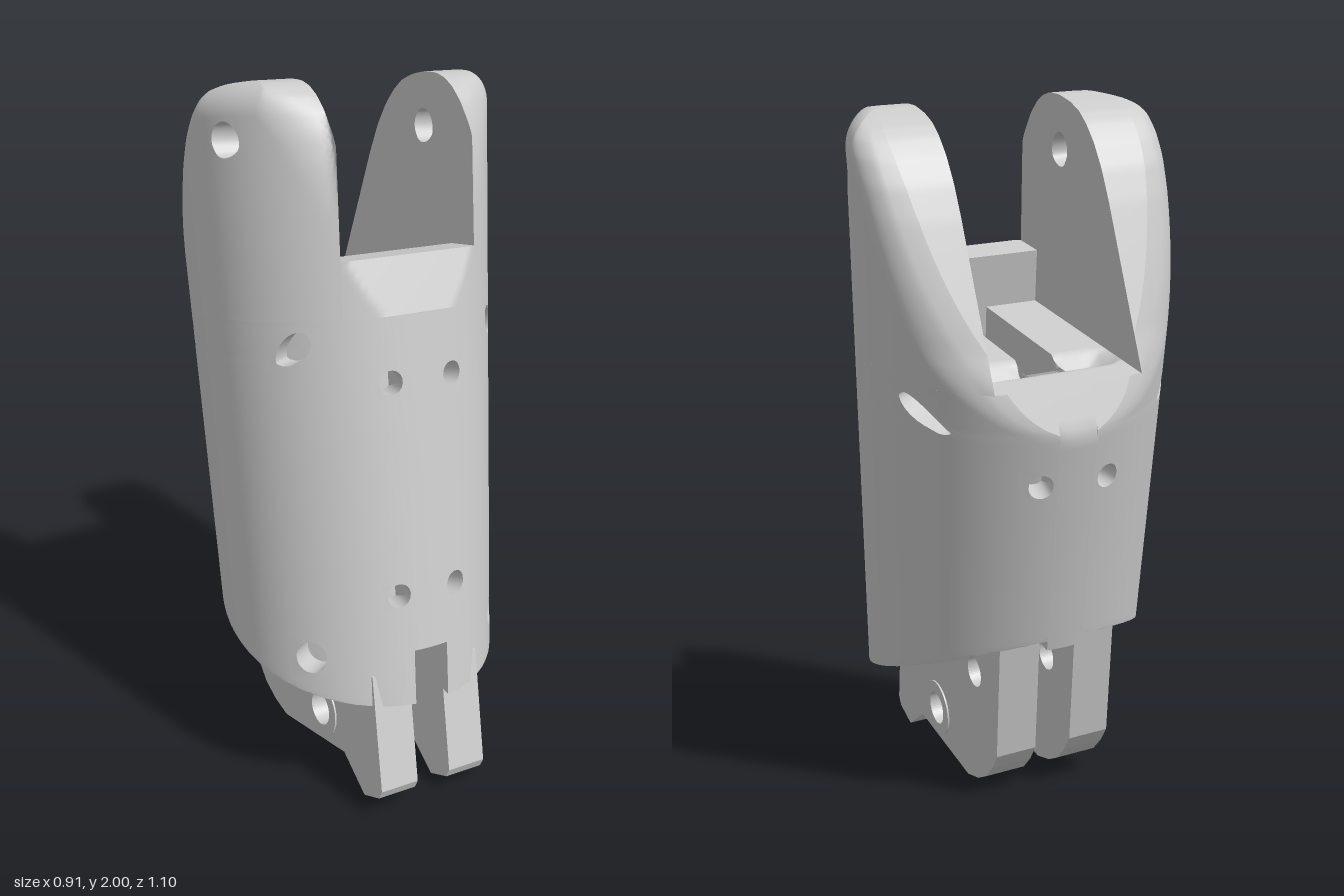
import * as THREE from 'three';
import { mergeGeometries } from 'three/addons/utils/BufferGeometryUtils.js';

const material = new THREE.MeshStandardMaterial({ color: 0xcccccc, side: THREE.DoubleSide });
const V = (x, y, z) => new THREE.Vector3(x, y, z);
const lerp = THREE.MathUtils.lerp;
const clamp = THREE.MathUtils.clamp;

// Main dimensions, measured along the sleeve's own axis
const SLOT = 0.055, FORK = 0.215, FLOOR = 1.355, TOP = 1.985, LEDGE = 1.51, ZC = 0.01;
const radius = y => 0.386 + 0.032 * y;
const bottom = z => 0.4 - 0.48 * z + 0.2 * z * z;
const arcZ = (x, y) => Math.sqrt(Math.max(0, radius(y) ** 2 - x * x));

// Side profile of the fork: height, back limit, front limit
const PROFILE = [[0, -0.6, 0.6], [1.2, -0.435, 0.6], [1.57, -0.23, 0.48], [1.76, -0.125, 0.42], [1.84, -0.075, 0.385],
  [1.9, -0.025, 0.35], [1.94, 0.022, 0.315], [1.965, 0.065, 0.28], [1.98, 0.12, 0.24], [TOP, 0.18, 0.19]];
function limits(y) {
  let k = 1;
  while (k < PROFILE.length - 1 && PROFILE[k][0] < y) k++;
  const a = PROFILE[k - 1], b = PROFILE[k], t = clamp((y - a[0]) / (b[0] - a[0]), 0, 1);
  return [lerp(a[1], b[1], t), lerp(a[2], b[2], t)];
}

// Grid surface f(a, b); each hole replaces a block of cells by a ring and a blind bore
function sheet(f, nu, nv, holes = []) {
  const pos = [], idx = [], skip = new Set();
  const put = p => { pos.push(p.x, p.y, p.z); return pos.length / 3 - 1; };
  const quad = (a, b, c, d) => idx.push(a, b, c, a, c, d);
  const id = (i, j) => j * (nu + 1) + i;
  for (let j = 0; j <= nv; j++) for (let i = 0; i <= nu; i++) put(f(i / nu, j / nv));
  for (const h of holes) {
    const i0 = Math.max(0, Math.floor(h.i - h.ri - 0.4)), i1 = Math.min(nu, Math.ceil(h.i + h.ri + 0.4));
    const j0 = Math.max(0, Math.floor(h.j - h.rj - 0.4)), j1 = Math.min(nv, Math.ceil(h.j + h.rj + 0.4));
    for (let j = j0; j < j1; j++) for (let i = i0; i < i1; i++) skip.add(id(i, j));
    const border = [];
    for (let i = i0; i < i1; i++) border.push([i, j0]);
    for (let j = j0; j < j1; j++) border.push([i1, j]);
    for (let i = i1; i > i0; i--) border.push([i, j1]);
    for (let j = j1; j > j0; j--) border.push([i0, j]);
    const ring = border.map(([i, j]) => {
      const a = Math.atan2((j - h.j) / h.rj, (i - h.i) / h.ri);
      const p = f((h.i + h.ri * Math.cos(a)) / nu, (h.j + h.rj * Math.sin(a)) / nv);
      const q = p.clone().add(h.dir);
      return { edge: id(i, j), rim: put(p), wall: put(p), end: put(q), base: put(q) };
    });
    const mid = put(f(h.i / nu, h.j / nv).add(h.dir));
    ring.forEach((r, k) => {
      const s = ring[(k + 1) % ring.length];
      quad(r.edge, s.edge, s.rim, r.rim);
      quad(r.wall, s.wall, s.end, r.end);
      idx.push(r.base, s.base, mid);
    });
  }
  for (let j = 0; j < nv; j++) for (let i = 0; i < nu; i++)
    if (!skip.has(id(i, j))) quad(id(i, j), id(i + 1, j), id(i + 1, j + 1), id(i, j + 1));
  const g = new THREE.BufferGeometry();
  g.setAttribute('position', new THREE.Float32BufferAttribute(pos, 3));
  g.setIndex(idx);
  g.computeVertexNormals();
  return g;
}

// Six-sided solid from a rule f(u, v, w)
function block(f, [nu, nv, nw], outerHoles, innerHoles) {
  return mergeGeometries([
    sheet((a, b) => f(1, b, a), nw, nv, outerHoles),
    sheet((a, b) => f(0, b, a), nw, nv, innerHoles),
    sheet((a, b) => f(a, 0, b), nu, nw),
    sheet((a, b) => f(a, 1, b), nu, nw),
    sheet((a, b) => f(a, b, 0), nu, nv),
    sheet((a, b) => f(a, b, 1), nu, nv),
  ]);
}

// Rounded groove across the pocket floor
const groove = (x, z) => Math.sqrt(Math.max(0, 0.0026 - (z + 0.2) ** 2)) * clamp((0.2 - Math.abs(x)) / 0.03, 0, 1);

// One side of the sleeve, from the plane x = xi out to the tapered wall
function sidePiece(xi, yA, yB, power, isBody, drill, dims) {
  const height = v => lerp(yA, yB, 1 - Math.pow(1 - v, power));
  const span = y => {
    const r = radius(y), s = arcZ(xi, y), [b, f] = limits(y);
    const angle = z => Math.asin(clamp((z - ZC) / r, -1, 1));
    return [angle(Math.max(b, ZC - s)), angle(Math.min(f, ZC + s))];
  };
  const rule = (u, v, w) => {
    const y = height(v), r = radius(y), [p0, p1] = span(y), p = lerp(p0, p1, w), [b, f] = limits(y);
    const z = ZC + r * Math.sin(p);
    // rounding where the wall meets the cut faces
    const R = 0.09 * clamp((y - 1.2) / 0.25, 0, 1) + 1e-6;
    const d = clamp(Math.min(z - b, f - z, TOP - y), 0, R);
    const xo = Math.max(xi, r * Math.cos(p) - R + Math.sqrt(R * R - (R - d) ** 2));
    const x = lerp(xi, xo, u);
    return V(x, isBody ? Math.max(y, bottom(z)) - (v === 1 ? groove(x, z) : 0) : y, z);
  };
  const holes = drill.map(([phi, y, R, dir]) => {
    const [p0, p1] = span(y), nv = dims[1], nw = dims[2];
    const v = 1 - Math.pow(1 - (y - yA) / (yB - yA), 1 / power);
    const slope = (height(v + 0.01) - height(v - 0.01)) / 0.02;
    return { i: (phi - p0) / (p1 - p0) * nw, ri: R / (radius(y) * (p1 - p0)) * nw, j: v * nv, rj: R / slope * nv,
      dir: dir || V(-Math.cos(phi), 0, -Math.sin(phi)).multiplyScalar(0.09) };
  });
  return block(rule, dims, holes.slice(0, isBody ? holes.length : 1), isBody ? [] : holes.slice(1));
}

// Bottom lug plate with pin holes
function lugGeometry() {
  const s = new THREE.Shape([[0.37, 0.34], [0.387, 0], [0.37, -0.025], [0.289, -0.044], [0.187, 0.053], [-0.159, 0.057],
    [-0.23, 0.09], [-0.281, 0.13], [-0.32, 0.185], [-0.347, 0.24], [-0.345, 0.61], [-0.1, 0.56]].map(p => new THREE.Vector2(...p)));
  for (const [z, y, r] of [[0.069, 0.152, 0.05], [-0.184, 0.43, 0.045]])
    s.holes.push(new THREE.Path().absarc(z, y, r, 0, Math.PI * 2, true));
  const g = new THREE.ExtrudeGeometry(s, { depth: 0.122, bevelEnabled: false, curveSegments: 24 });
  return g.rotateY(-Math.PI / 2).translate(0.177, 0, 0);
}

function bushingGeometry() {
  const s = new THREE.Shape().absarc(0.069, 0.152, 0.085, 0, Math.PI * 2);
  s.holes.push(new THREE.Path().absarc(0.069, 0.152, 0.05, 0, Math.PI * 2, true));
  const g = new THREE.ExtrudeGeometry(s, { depth: 0.006, bevelEnabled: false, curveSegments: 24 });
  return g.rotateY(-Math.PI / 2).translate(0.182, 0, 0);
}

export function createModel() {
  const model = new THREE.Group();
  const sleeve = new THREE.Group();
  sleeve.name = 'forkedSleeve';
  model.add(sleeve);
  const add = (parent, name, geometry) => {
    const m = new THREE.Mesh(geometry, material);
    m.name = name;
    parent.add(m);
  };

  // Mirrored halves: wall, fork prong, lug
  const wall = sidePiece(SLOT, 0.24, FLOOR, 1, true, [
    [0.726, 1.28, 0.046], [-0.54, 1.28, 0.046], [0.688, 0.4, 0.046],
    [1.335, 1.175, 0.034], [1.335, 0.57, 0.034], [-1.335, 1.1, 0.034],
  ], [10, 60, 72]);
  const prong = sidePiece(FORK, FLOOR, TOP, 1.7, false, [
    [0.36, 1.84, 0.048, V(-0.08, 0, 0)], [0.36, 1.84, 0.048, V(0.08, 0, 0)],
  ], [8, 44, 48]);
  const lug = lugGeometry(), bushing = bushingGeometry();
  for (const side of [1, -1]) {
    const half = new THREE.Group();
    half.name = side > 0 ? 'leftHalf' : 'rightHalf';
    half.scale.x = side;
    add(half, 'sleeveWall', wall);
    add(half, 'forkProng', prong);
    add(half, 'lug', lug);
    add(half, 'pinBushing', bushing);
    sleeve.add(half);
  }

  // Centre webs closing the slot at front and back
  add(sleeve, 'frontWeb', block((u, v, w) => {
    const x = lerp(-SLOT, SLOT, u), y = lerp(0.4, FLOOR, v);
    return V(x, y, lerp(0.28, ZC + arcZ(x, y), w));
  }, [6, 12, 2]));
  add(sleeve, 'backWeb', block((u, v, w) => {
    const x = lerp(-SLOT, SLOT, u), y = lerp(0.59, FLOOR, v);
    const z = lerp(Math.max(ZC - arcZ(x, y), limits(y)[0]), -0.19, w);
    return V(x, y - (v === 1 ? groove(x, z) : 0), z);
  }, [6, 30, 16]));

  // Front ledge between the prongs, shaved flat on its face
  add(sleeve, 'frontLedge', block((u, v, w) => {
    const x = lerp(-FORK, FORK, u), y = lerp(FLOOR, LEDGE, v);
    return V(x, y, lerp(0.28, Math.min(ZC + arcZ(x, y), 0.395 + 0.2 * (LEDGE - y)), w));
  }, [32, 12, 2]));

  // Lean of the whole sleeve
  const Y = V(0.045, 1, -0.245).normalize();
  const X = V(0.985, -0.09, -0.15).addScaledVector(Y, -V(0.985, -0.09, -0.15).dot(Y)).normalize();
  const Z = X.clone().cross(Y);
  sleeve.quaternion.setFromRotationMatrix(new THREE.Matrix4().makeBasis(X, Y, Z));
  sleeve.position.set(-0.078, 0, 0.158);
  return model;
}
